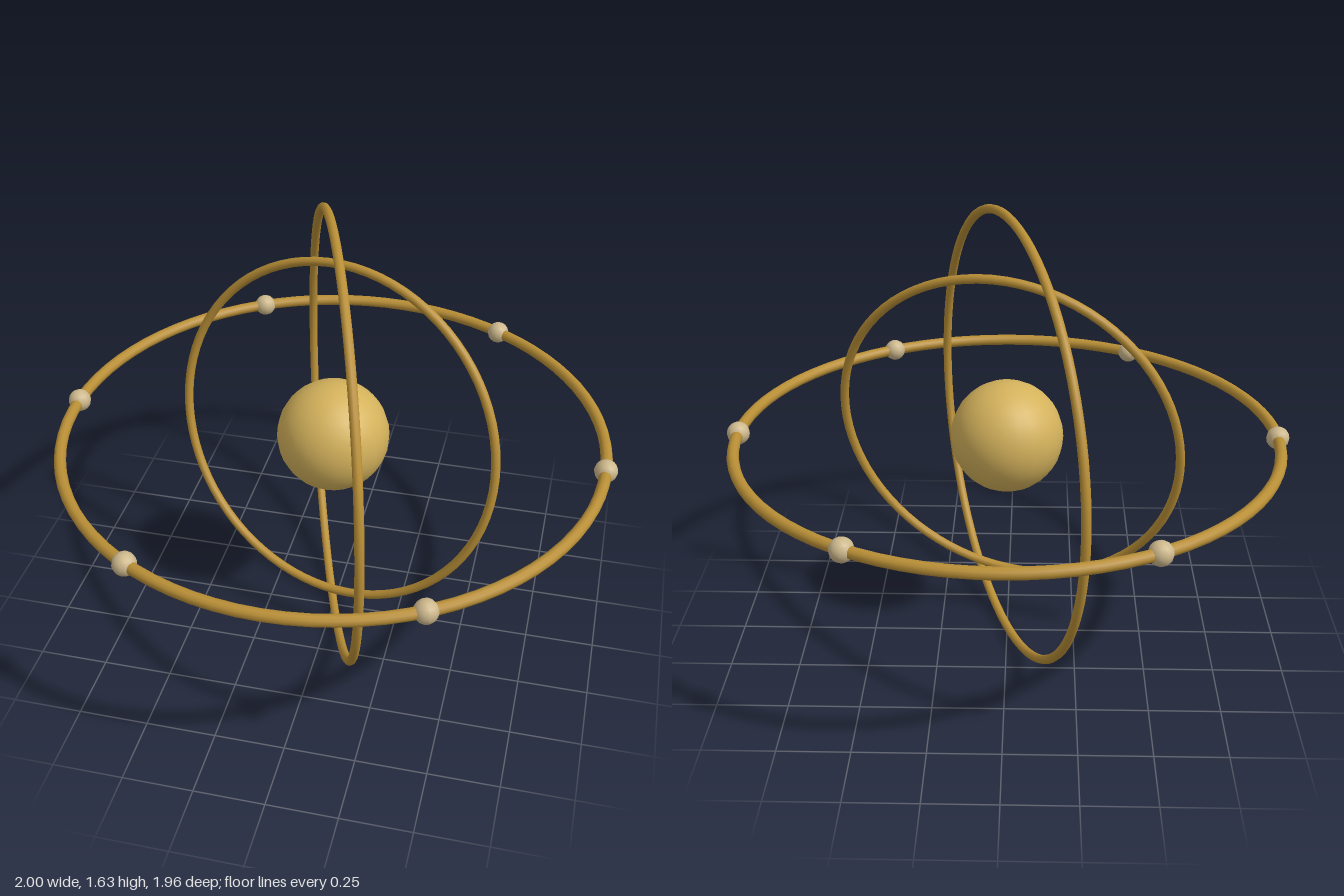
import * as THREE from 'three';

const CENTRE_Y = 0.813;

function material(name, color) {
  const m = new THREE.MeshStandardMaterial({ color });
  m.name = name;
  return m;
}

export function createModel() {
  const model = new THREE.Group();
  model.name = 'armillarySphere';
  const brass = material('brass', 0xb98f36);
  const gold = material('paleGold', 0xd4b25c);
  const ivory = material('ivory', 0xcdb88c);

  const add = (name, geometry, mat) => {
    const mesh = new THREE.Mesh(geometry, mat);
    mesh.name = name;
    mesh.position.y = CENTRE_Y;
    model.add(mesh);
    return mesh;
  };
  const ring = (name, radius, tube, rx, ry) =>
    add(name, new THREE.TorusGeometry(radius, tube, 10, 80), brass).rotation.set(rx, ry, 0);

  // Central globe
  add('globe', new THREE.SphereGeometry(0.2, 24, 16), gold);

  // Three nested rings: level, upright and tilted
  ring('horizonRing', 0.958, 0.021, Math.PI / 2, 0);
  ring('uprightRing', 0.797, 0.016, 0, 1.9);
  ring('tiltedRing', 0.626, 0.016, -0.2, -0.3);

  // Six beads spaced around the level ring
  const beadGeometry = new THREE.SphereGeometry(0.041, 12, 8);
  for (let i = 0; i < 6; i++) {
    const a = (i * Math.PI) / 3;
    const bead = add(`bead${i + 1}`, beadGeometry, ivory);
    bead.position.x = 0.958 * Math.cos(a);
    bead.position.z = 0.958 * Math.sin(a);
  }
  return model;
}
